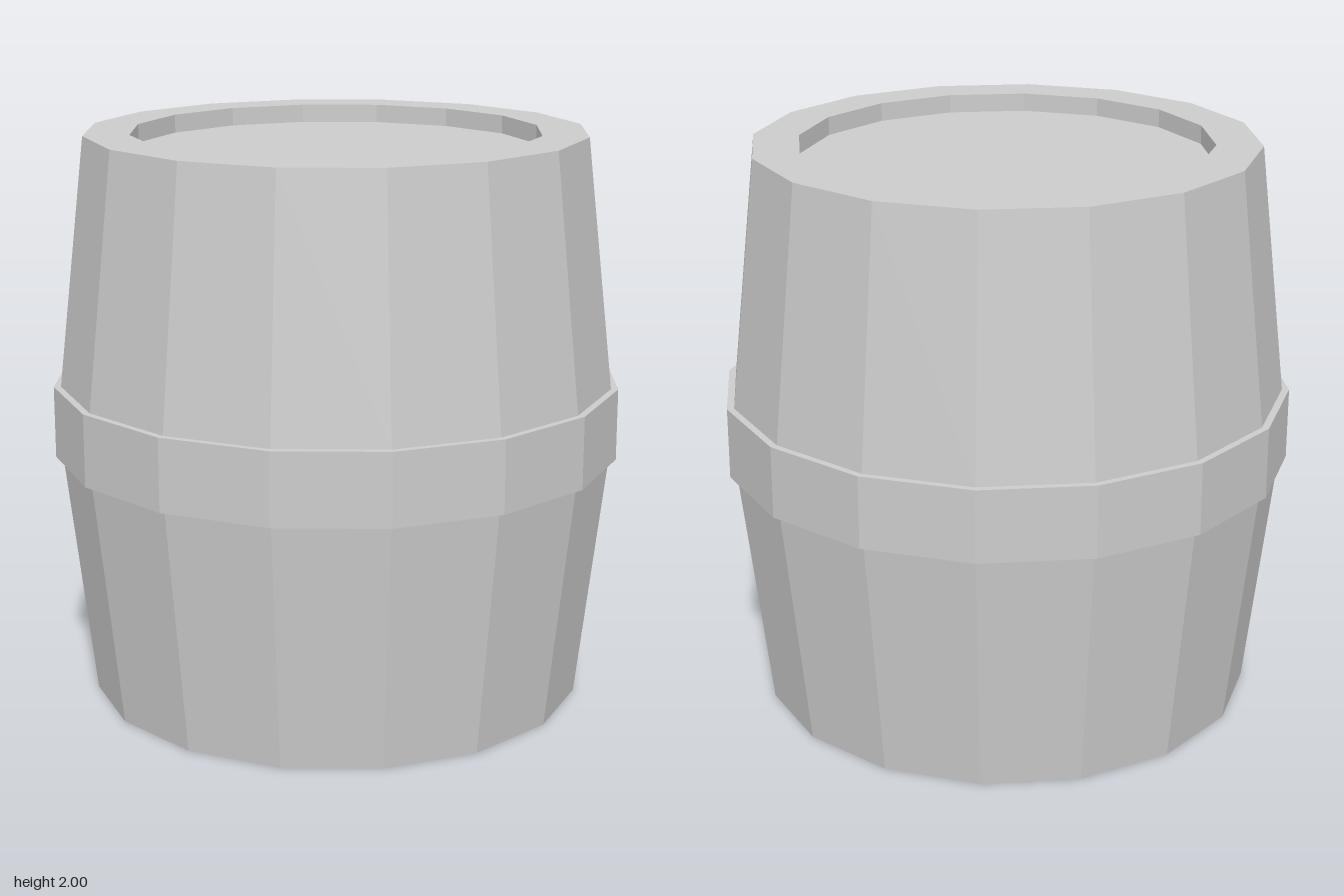
import * as THREE from 'three';

const SIDES = 16;

// Faceted turned part from [radius, height] pairs, listed bottom to top
function turned(name, profile, material) {
  const points = profile.map(([r, y]) => new THREE.Vector2(r, y));
  const mesh = new THREE.Mesh(new THREE.LatheGeometry(points, SIDES), material);
  mesh.name = name;
  return mesh;
}

export function createModel() {
  const group = new THREE.Group();
  group.name = 'barrel';
  const material = new THREE.MeshStandardMaterial({ color: 0xcccccc, flatShading: true });

  const rim = 0.875, lid = 0.715, recess = 0.065;

  // Bulging staves with the rims at both ends
  group.add(turned('staves', [
    [lid, recess], [lid, 0], [rim, 0],
    [0.975, 0.875], [0.975, 1.128],
    [rim, 2], [lid, 2], [lid, 2 - recess],
  ], material));

  // Sunken end discs
  group.add(turned('bottomLid', [[0, recess], [lid, recess]], material));
  group.add(turned('topLid', [[lid, 2 - recess], [0, 2 - recess]], material));

  // Hoop around the middle
  group.add(turned('hoop', [
    [0.97, 0.875], [1, 0.875], [1, 1.128], [0.97, 1.128],
  ], material));

  return group;
}
